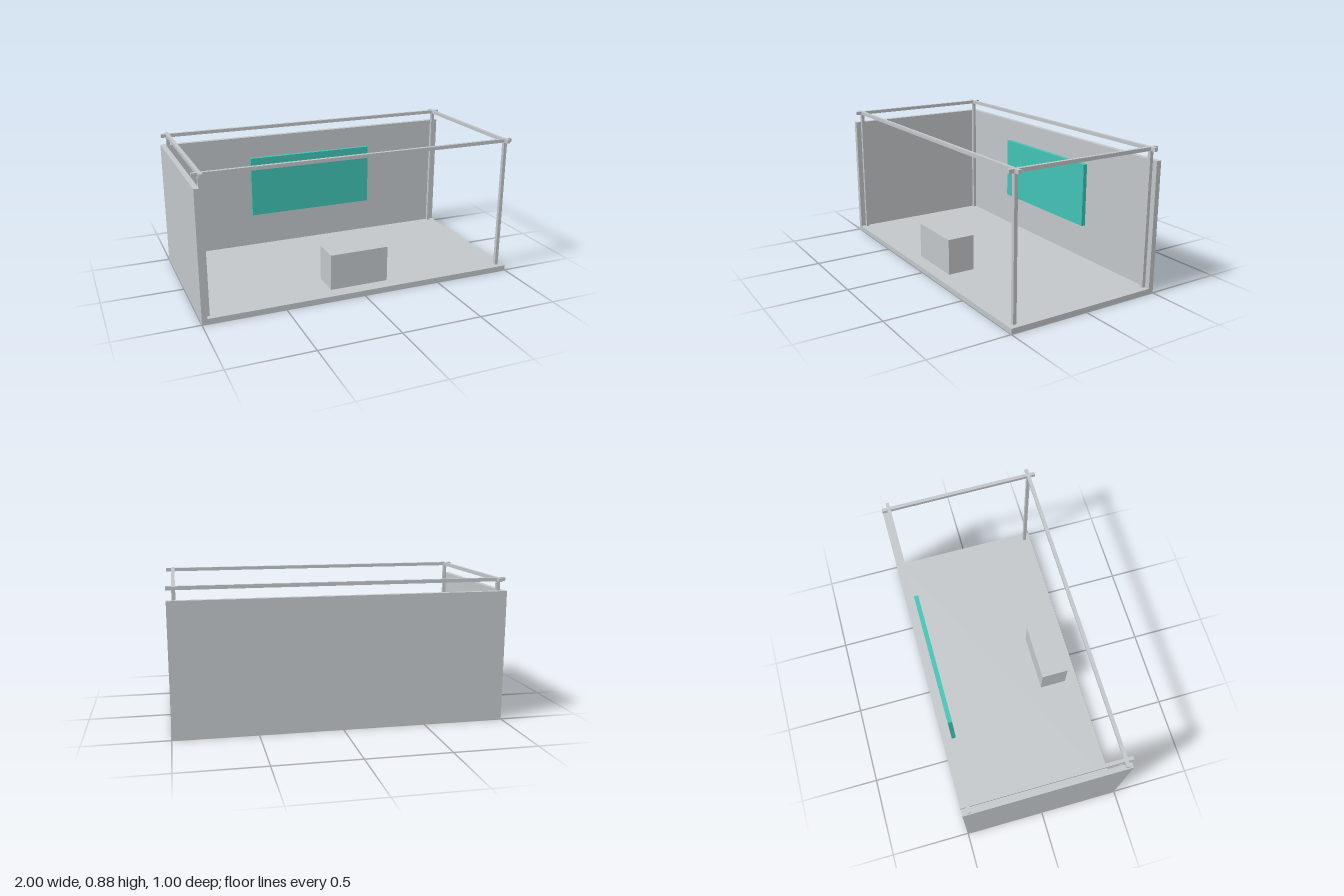
import * as THREE from 'three';

export function createModel() {
  const model = new THREE.Group();
  model.name = 'exhibitionBooth';

  const grey = new THREE.MeshStandardMaterial({ color: 0xc2c6c9 });
  grey.name = 'light grey';
  const teal = new THREE.MeshStandardMaterial({ color: 0x41c2b4 });
  teal.name = 'teal';

  // Box given by its lower and upper corner
  function box(name, min, max, material = grey) {
    const size = max.map((v, i) => v - min[i]);
    const mesh = new THREE.Mesh(new THREE.BoxGeometry(...size), material);
    mesh.position.set(...max.map((v, i) => (v + min[i]) / 2));
    mesh.name = name;
    model.add(mesh);
  }

  const wall = 0.032; // thickness of floor and walls
  const wallTop = 0.8;

  // Floor, closed back and closed right side; front and left stay open
  box('floor', [-1 + wall, 0, -0.5 + wall], [1, wall, 0.5]);
  box('backWall', [-1, 0, -0.5], [1, wallTop, -0.5 + wall]);
  box('sideWall', [-1, 0, -0.5 + wall], [-1 + wall, wallTop, 0.5]);

  // Truss: four posts and crossing top beams
  const bar = 0.0107; // half thickness
  const postX = 0.957, postZ = 0.457;
  const top = 0.877, beamBottom = top - 2 * bar;
  for (const sx of [-1, 1]) {
    const x = sx * postX;
    for (const sz of [-1, 1]) {
      const z = sz * postZ;
      box('post', [x - bar, wall, z - bar], [x + bar, beamBottom, z + bar]);
    }
    // Side beam in three pieces, leaving room for the long beams
    box('sideBeam', [x - bar, beamBottom, -postZ + bar], [x + bar, top, postZ - bar]);
    box('sideBeamEnd', [x - bar, beamBottom, postZ + bar], [x + bar, top, 0.5]);
    box('sideBeamEnd', [x - bar, beamBottom, -0.5], [x + bar, top, -postZ - bar]);
  }
  for (const sz of [-1, 1]) {
    const z = sz * postZ;
    box('longBeam', [-1, beamBottom, z - bar], [1, top, z + bar]);
  }

  // Display panel in front of the back wall
  box('displayPanel', [-0.427, 0.265, -0.445], [0.427, 0.665, -0.418], teal);

  // Reception counter
  box('counter', [-0.187, wall, 0.24], [0.187, 0.257, 0.414]);

  return model;
}
